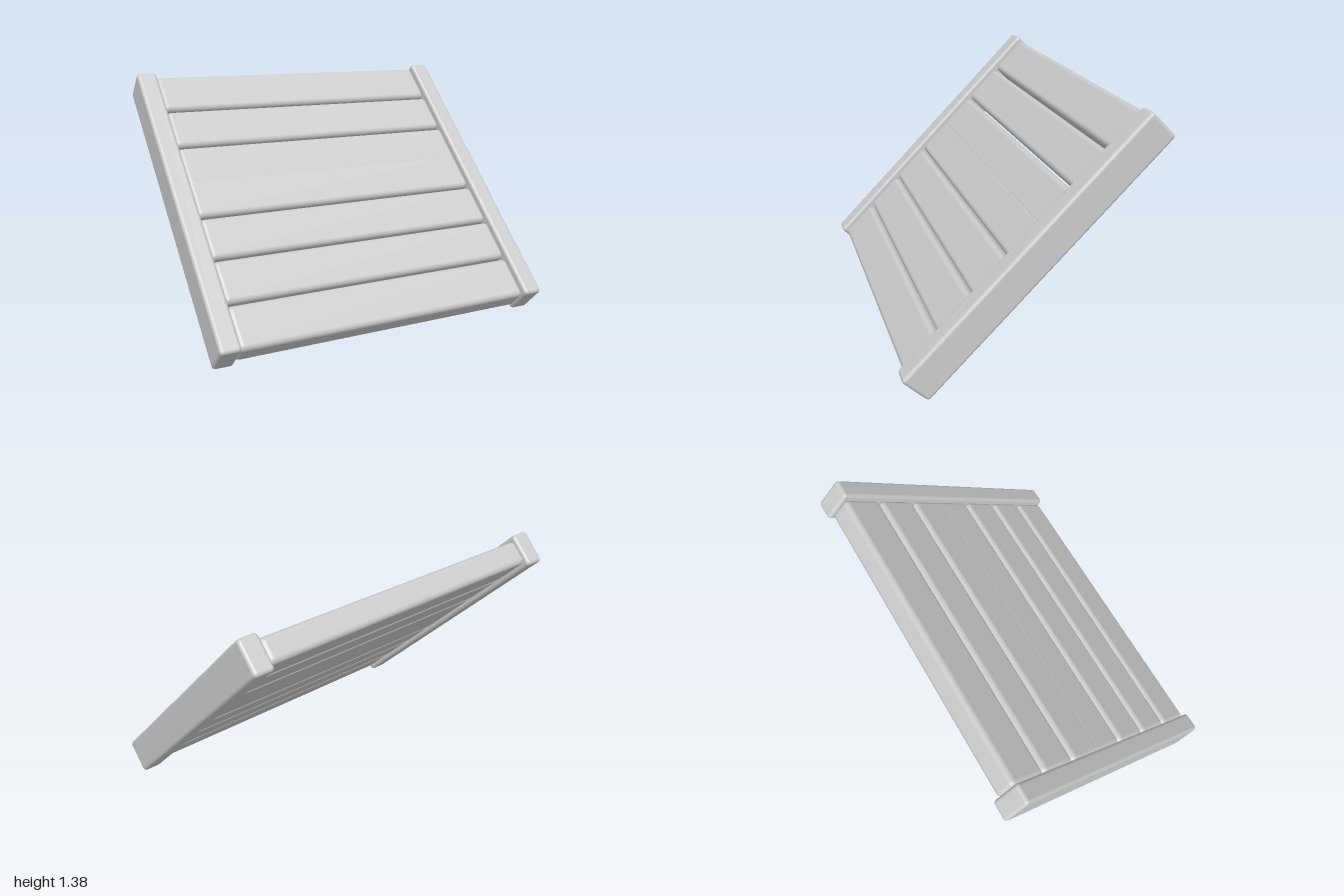
import * as THREE from 'three';
import { RoundedBoxGeometry } from 'three/addons/geometries/RoundedBoxGeometry.js';

export function createModel() {
  const model = new THREE.Group();
  model.name = 'slattedPanel';
  const material = new THREE.MeshStandardMaterial({ color: 0xcccccc });

  // Panel is built upright, then leaned back 45 degrees
  const panel = new THREE.Group();
  panel.name = 'leaningPanel';
  panel.position.y = 0.692;
  panel.rotation.x = -Math.PI / 4;
  model.add(panel);

  const addBar = (name, w, h, d, r, x, y) => {
    const bar = new THREE.Mesh(new RoundedBoxGeometry(w, h, d, 5, r), material);
    bar.name = name;
    bar.position.set(x, y, 0);
    panel.add(bar);
  };

  // Side rails
  addBar('leftRail', 0.115, 1.785, 0.194, 0.02, 0.9425, 0);
  addBar('rightRail', 0.115, 1.785, 0.194, 0.02, -0.9425, 0);

  // Cross slats, evenly spaced except for one closed joint above the middle
  const pitch = 0.261;
  for (let i = 0; i < 7; i++) {
    const y = i < 3 ? 0.757 - i * pitch : -0.757 + (6 - i) * pitch;
    addBar('slat' + (i + 1), 1.78, 0.25, 0.14, 0.03, 0, y);
  }
  return model;
}
